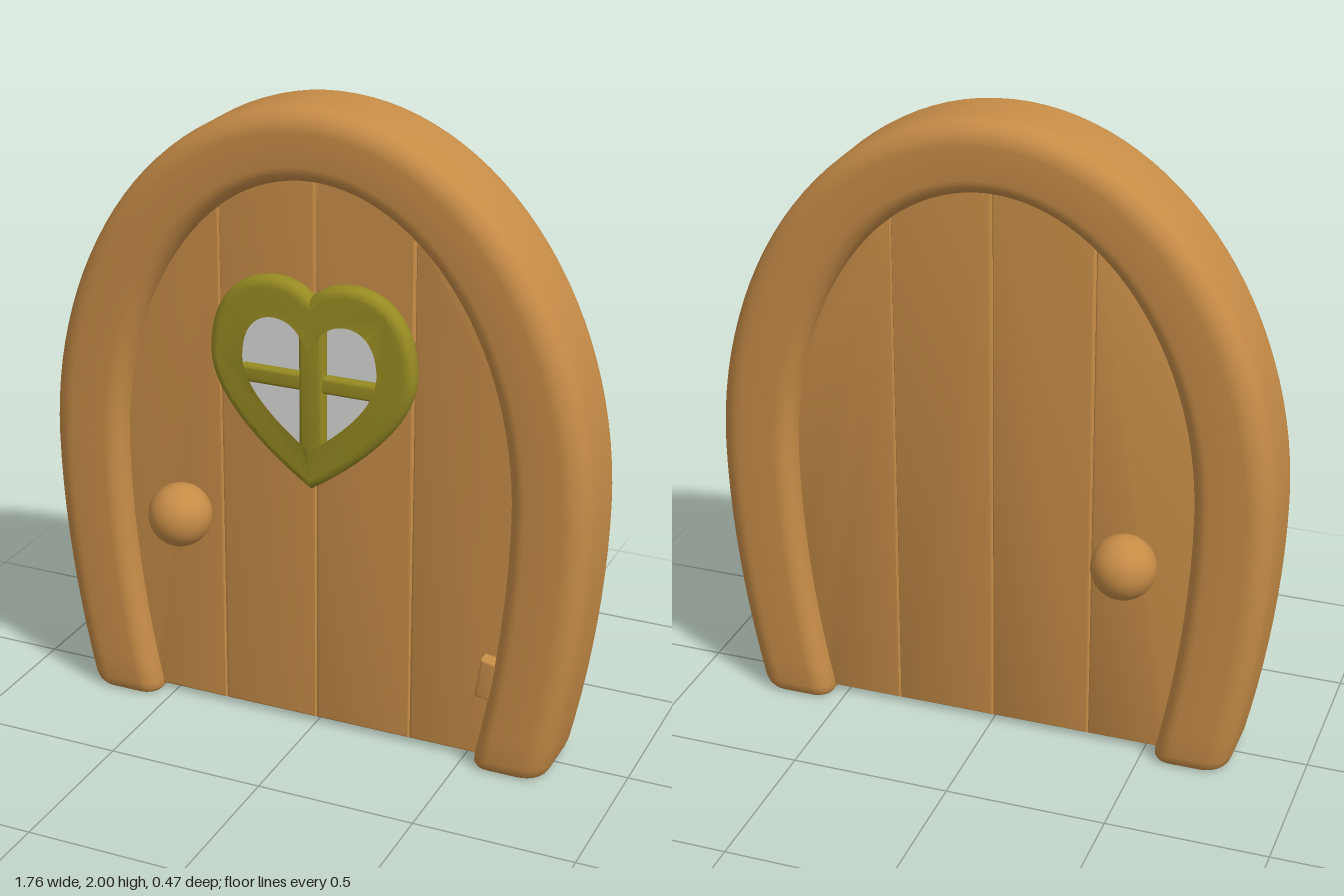
import * as THREE from 'three';
import { toCreasedNormals } from 'three/addons/utils/BufferGeometryUtils.js';

const mat = (name, color) => {
  const m = new THREE.MeshStandardMaterial({ color });
  m.name = name;
  return m;
};

const SPRING = 0.85; // height where the legs turn into the elliptical arch

// Right half of an arch: t in 0..1 climbs the leg, 1..2 goes round to the crown.
function archPoint(t, half, top, foot) {
  if (t <= 1) return new THREE.Vector2(half - (half - foot) * (1 - t) ** 1.9, SPRING * t);
  const a = (t - 1) * Math.PI / 2;
  return new THREE.Vector2(half * Math.cos(a), SPRING + (top - SPRING) * Math.sin(a));
}

// Rounded section swept along the arch, between an inner and an outer outline.
function frameGeometry() {
  const width = 0.24, depth = 0.153, section = [];
  const corners = [[1, -1, 0.075], [1, 1, 0.075], [-1, 1, 0.055], [-1, -1, 0.055]];
  corners.forEach(([su, sz, r], c) => {
    for (let i = 0; i <= 7; i++) {
      const a = (c - 1 + i / 7) * Math.PI / 2;
      section.push([
        (su * (width / 2 - r) + r * Math.cos(a)) / width,
        sz * (depth - r) + r * Math.sin(a),
      ]);
    }
  });

  // stations along half the arch: [t, section scale], with rounded feet
  const half = [[0, 0.84], [0.005, 0.92], [0.018, 0.97], [0.045, 1]];
  for (let i = 1; i <= 10; i++) half.push([0.045 + 0.955 * i / 10, 1]);
  for (let i = 1; i <= 28; i++) half.push([1 + i / 28, 1]);
  const stations = half.map(([t, s]) => [t, s, 1]);
  for (let i = half.length - 2; i >= 0; i--) stations.push([half[i][0], half[i][1], -1]);

  const pos = [], index = [], n = section.length;
  for (const [t, s, side] of stations) {
    const inner = archPoint(t, 0.637, 1.78, 0.535);
    const outer = archPoint(t, 0.878, 2, 0.772);
    for (const [u, z] of section) {
      const p = inner.clone().lerp(outer, 0.5 + u * s);
      pos.push(side * p.x, p.y, z * s);
    }
  }
  for (let r = 0; r < stations.length - 1; r++) {
    for (let k = 0; k < n; k++) {
      const a = r * n + k, b = r * n + (k + 1) % n;
      index.push(a, a + n, b, b, a + n, b + n);
    }
  }
  // flat soles
  const first = pos.length / 3, end = (stations.length - 1) * n;
  pos.push(0.6535, 0, 0, -0.6535, 0, 0);
  for (let k = 0; k < n; k++) {
    const j = (k + 1) % n;
    index.push(first, k, j, first + 1, end + j, end + k);
  }
  const g = new THREE.BufferGeometry();
  g.setAttribute('position', new THREE.Float32BufferAttribute(pos, 3));
  g.setIndex(index);
  return toCreasedNormals(g, 0.8);
}

function extrude(shape, z0, z1, bevel, curveSegments = 24) {
  const g = new THREE.ExtrudeGeometry(shape, {
    depth: z1 - z0 - 2 * bevel, bevelEnabled: bevel > 0, bevelSize: bevel,
    bevelThickness: bevel, bevelOffset: -bevel, bevelSegments: 4, curveSegments,
  });
  g.translate(0, 0, z0 + bevel);
  return toCreasedNormals(g, 0.7);
}

// Door plank between x0 and x1 (both >= 0), its top cut to the arch.
function plankShape(x0, x1, side) {
  const half = 0.66, rise = 0.95, base = 0.015;
  const topAt = (x) => SPRING + rise * Math.sqrt(1 - (x / half) ** 2);
  const pts = [new THREE.Vector2(x0, base)];
  if (x1 < half) pts.push(new THREE.Vector2(x1, base));
  else for (let i = 0; i < 10; i++) {
    const p = archPoint(i / 10, half, SPRING + rise, 0.56);
    pts.push(p.setY(Math.max(p.y, base)));
  }
  for (let i = 0; i <= 20; i++) {
    const x = x1 + (x0 - x1) * Math.sin(i / 20 * Math.PI / 2) ** 2;
    pts.push(new THREE.Vector2(x, topAt(x)));
  }
  pts.forEach((p) => { p.x *= side; });
  return new THREE.Shape(pts);
}

// Heart outline: notch, lobe handles, widest point, lower handles, tip.
function heart(path, notch, h1, h2, wide, h3, h4, tip) {
  path.moveTo(0, notch);
  path.bezierCurveTo(h1[0], h1[1], h2[0], h2[1], wide[0], wide[1]);
  path.bezierCurveTo(h3[0], h3[1], h4[0], h4[1], 0, tip);
  path.bezierCurveTo(-h4[0], h4[1], -h3[0], h3[1], -wide[0], wide[1]);
  path.bezierCurveTo(-h2[0], h2[1], -h1[0], h1[1], 0, notch);
  return path;
}
const outerHeart = (p) => heart(p, 1.43, [0.07, 1.515], [0.33, 1.515], [0.33, 1.22], [0.33, 1.07], [0.14, 0.91], 0.82);
const innerHeart = (p) => heart(p, 1.31, [0.04, 1.42], [0.245, 1.43], [0.245, 1.22], [0.24, 1.1], [0.12, 1.0], 0.915);

function roundedBar(w, h) {
  return new THREE.Shape([[-1, -1], [1, -1], [1, 1], [-1, 1]]
    .map(([x, y]) => new THREE.Vector2(x * w / 2, y * h / 2)));
}

export function createModel() {
  const wood = mat('wood', 0xc68c47);
  const olive = mat('olive', 0x968a22);
  const glass = mat('glass', 0xdadad8);
  const model = new THREE.Group();
  model.name = 'archedDoor';
  const add = (name, geometry, material, parent = model) => {
    const m = new THREE.Mesh(geometry, material);
    m.name = name;
    parent.add(m);
    return m;
  };

  add('doorFrame', frameGeometry(), wood);

  // four planks with grooves between them
  const planks = new THREE.Group();
  planks.name = 'planks';
  model.add(planks);
  for (const side of [-1, 1]) {
    add('innerPlank', extrude(plankShape(0, 0.315, side), -0.08, 0.08, 0.01), wood, planks);
    add('outerPlank', extrude(plankShape(0.315, 0.66, side), -0.08, 0.08, 0.01), wood, planks);
  }

  // knobs on both faces
  for (const side of [-1, 1]) {
    add('knob', new THREE.SphereGeometry(0.1, 32, 24), wood).position.set(-0.435, 0.665, side * 0.137);
  }

  // heart window
  const win = new THREE.Group();
  win.name = 'heartWindow';
  model.add(win);
  const ring = outerHeart(new THREE.Shape());
  ring.holes.push(innerHeart(new THREE.Path()));
  add('windowFrame', extrude(ring, 0.06, 0.13, 0.028), olive, win);
  const pane = innerHeart(new THREE.Shape());
  add('pane', extrude(pane, 0.079, 0.086, 0), glass, win);
  add('verticalBar', extrude(roundedBar(0.08, 0.46), 0.07, 0.12, 0.015), olive, win).position.y = 1.13;
  add('crossBar', extrude(roundedBar(0.46, 0.055), 0.07, 0.115, 0.015), olive, win).position.y = 1.16;

  // small hinge by the frame
  const hinge = add('hinge', extrude(roundedBar(0.055, 0.13), 0.06, 0.125, 0.01), wood);
  hinge.position.set(0.578, 0.3, 0);
  hinge.rotation.z = -0.16;

  return model;
}
